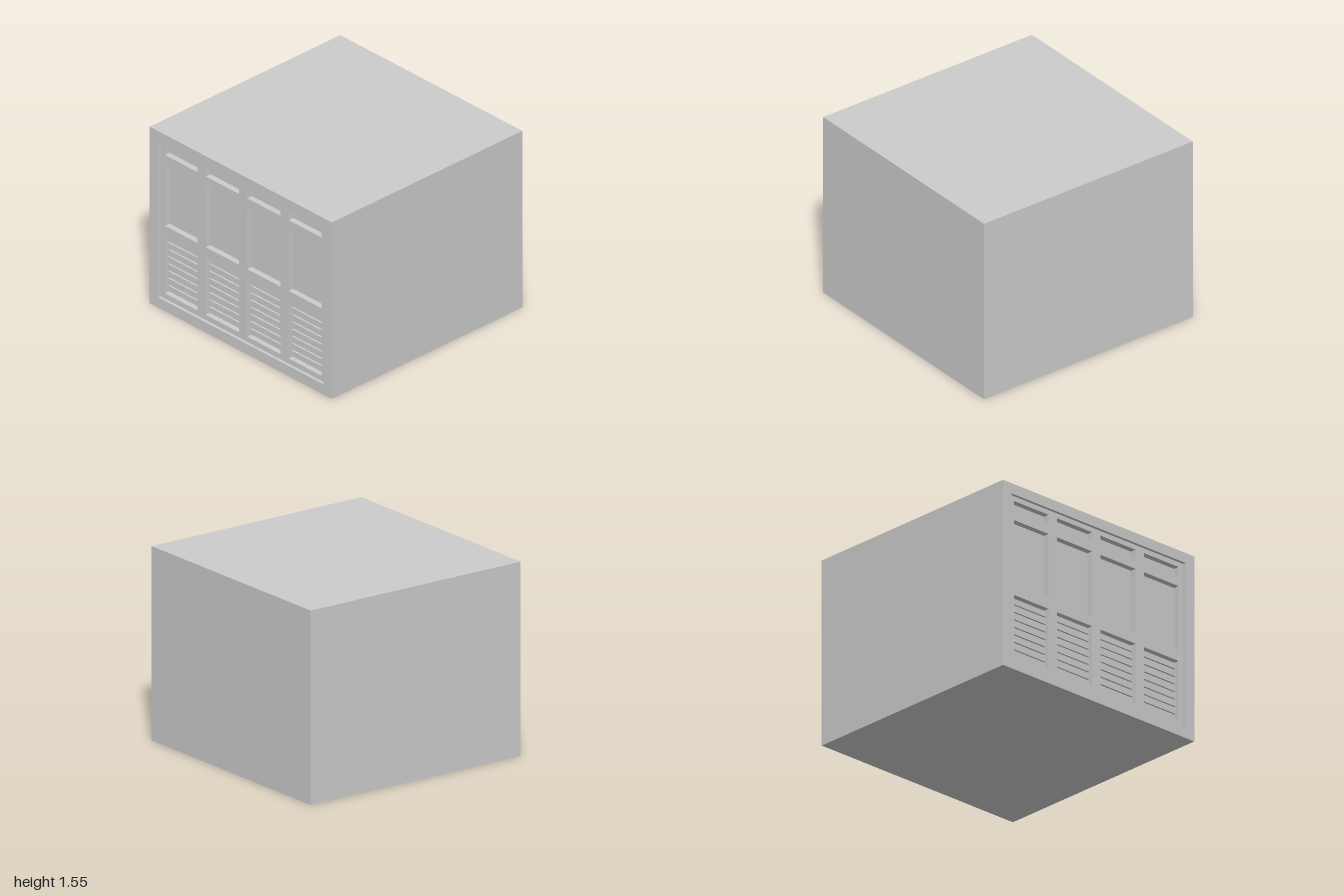
import * as THREE from 'three';

const W = 2, H = 1.55;
const PANE_Z = 0.925, FRAME_Z = 0.975, FRONT_Z = 1;
const columns = [[-0.86, -0.5], [-0.41, -0.045], [0.045, 0.41], [0.5, 0.86]];
const rows = [[0.135, 0.638], [0.728, 1.265], [1.35, 1.425]];
const material = new THREE.MeshStandardMaterial({ color: 0xcccccc, flatShading: true });

function add(parent, name, geometry, x = 0, y = 0, z = 0) {
  const mesh = new THREE.Mesh(geometry, material);
  mesh.name = name;
  mesh.position.set(x, y, z);
  parent.add(mesh);
  return mesh;
}

function rectangle(Type, x0, x1, y0, y1) {
  return new Type().setFromPoints([
    new THREE.Vector2(x0, y0), new THREE.Vector2(x1, y0),
    new THREE.Vector2(x1, y1), new THREE.Vector2(x0, y1),
  ]);
}

// Flat board with rectangular openings, each given as [x0, x1, y0, y1]
function board(outline, openings, depth) {
  const shape = rectangle(THREE.Shape, ...outline);
  for (const o of openings) shape.holes.push(rectangle(THREE.Path, ...o));
  return new THREE.ExtrudeGeometry(shape, { depth, bevelEnabled: false });
}

export function createModel() {
  const model = new THREE.Group();
  model.name = 'building';

  // Solid block; its front face also forms the recessed panes
  const bodyDepth = PANE_Z + 1;
  add(model, 'body', new THREE.BoxGeometry(W, H, bodyDepth), 0, H / 2, PANE_Z - bodyDepth / 2);

  // Wall border around the large front opening
  const opening = [-0.91, 0.908, 0.09, 1.465];
  add(model, 'frontSurround',
    board([-W / 2, W / 2, 0, H], [opening], FRONT_Z - PANE_Z), 0, 0, PANE_Z);

  // Set-back grid of stiles and rails
  const cells = columns.flatMap(([x0, x1]) => rows.map(([y0, y1]) => [x0, x1, y0, y1]));
  add(model, 'panelFrame', board(opening, cells, FRAME_Z - PANE_Z), 0, 0, PANE_Z);

  // Horizontal slats in the lower row
  const slats = new THREE.Group();
  slats.name = 'slats';
  model.add(slats);
  const count = 8, [bottom, top] = rows[0];
  const pitch = (top - bottom) / count, slatDepth = 0.015;
  for (const [x0, x1] of columns) {
    for (let i = 0; i < count; i++) {
      add(slats, 'slat', new THREE.BoxGeometry(x1 - x0, pitch * 0.75, slatDepth),
        (x0 + x1) / 2, bottom + (i + 0.5) * pitch, PANE_Z + slatDepth / 2);
    }
  }
  return model;
}
